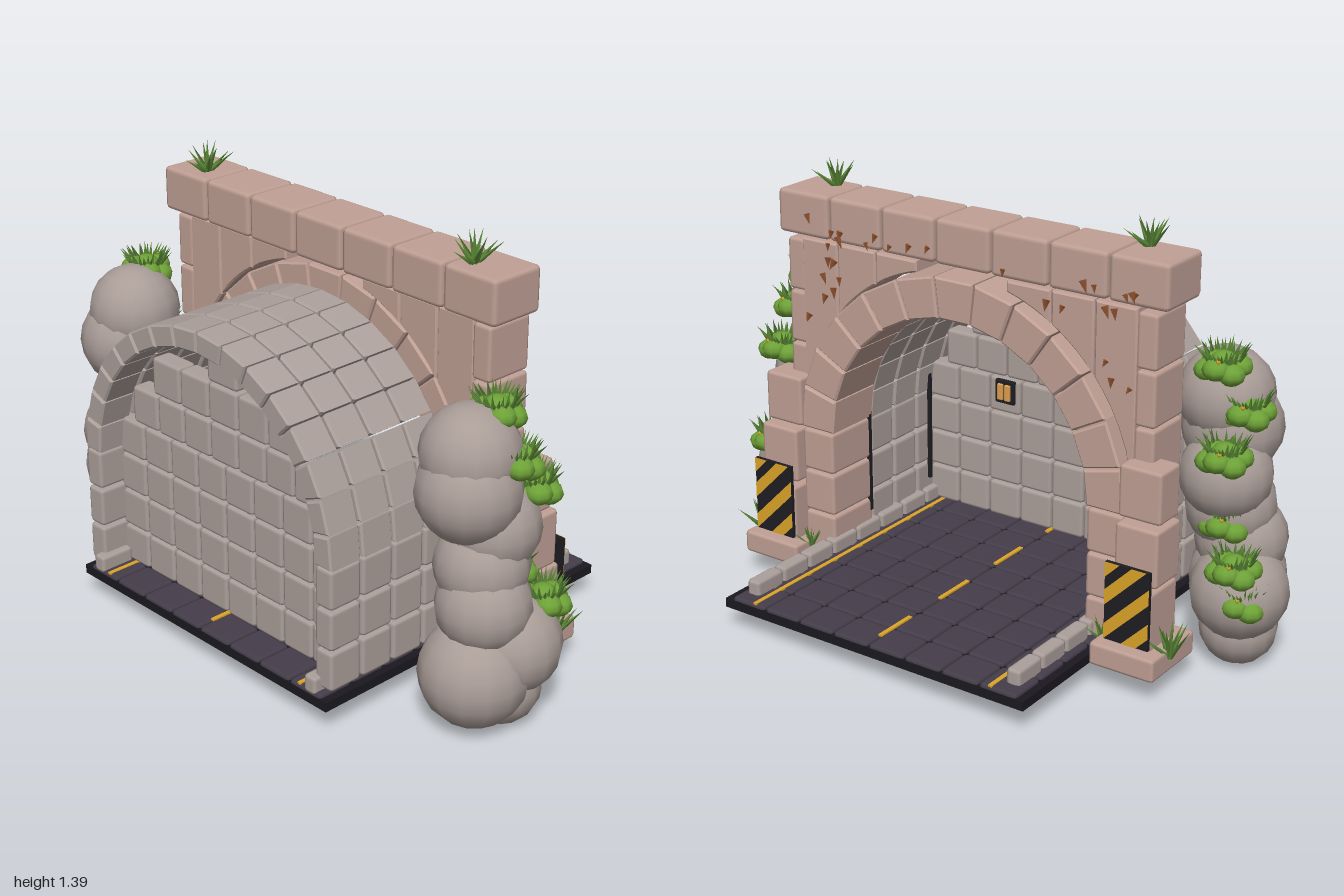
import * as THREE from 'three';
import { RoundedBoxGeometry } from 'three/addons/geometries/RoundedBoxGeometry.js';
import { mergeGeometries } from 'three/addons/utils/BufferGeometryUtils.js';

const mat = (color) => new THREE.MeshStandardMaterial({ color, side: THREE.DoubleSide });
const M = {
  sand: mat(0xc0a095), stone: mat(0xaca09b), rock: mat(0xaa9d98), road: mat(0x453e4b), slab: mat(0x1b191f),
  dark: mat(0x1e1d22), yellow: mat(0xdda528), lamp: mat(0xe0a050), rust: mat(0xa8623a),
  leaf: mat(0x6ea238), blade: mat(0x5d8c38),
};

let seed = 7;
const rnd = () => (seed = (seed * 16807) % 2147483647) / 2147483647;

function group(parent, name) {
  const g = new THREE.Group();
  g.name = name;
  parent.add(g);
  return g;
}

function add(parent, name, geo, material, x = 0, y = 0, z = 0) {
  const m = new THREE.Mesh(geo, material);
  m.name = name;
  m.position.set(x, y, z);
  parent.add(m);
  return m;
}

// Softened block given by its limits on each axis
function block(parent, name, material, x0, x1, y0, y1, z0, z1, r = 0.012) {
  const geo = new RoundedBoxGeometry(x1 - x0, y1 - y0, z1 - z0, 1, r);
  return add(parent, name, geo, material, (x0 + x1) / 2, (y0 + y1) / 2, (z0 + z1) / 2);
}

// Profile in the (z, y) plane, pushed along x with a small bevel
function slice(parent, name, material, pts, x0, x1) {
  const b = 0.006;
  const geo = new THREE.ExtrudeGeometry(new THREE.Shape(pts.map((p) => new THREE.Vector2(...p))), {
    depth: x1 - x0 - 2 * b, bevelThickness: b, bevelSize: b, bevelOffset: -b, bevelSegments: 1,
  });
  return add(parent, name, geo.rotateY(Math.PI / 2), material, x0 + b);
}

// Half ring of wedge stones
function stoneArch(parent, name, material, n, cy, rIn, rOut, x0, x1, gap) {
  const step = Math.PI / n;
  for (let i = 0; i < n; i++) {
    const p = (r, a) => [r * Math.cos(a), cy + r * Math.sin(a)];
    const a0 = i * step + gap, a1 = (i + 1) * step - gap;
    slice(parent, name, material, [p(rIn, a0), p(rOut, a0), p(rOut, a1), p(rIn, a1)], x0, x1);
  }
}

// Pointed blades fanning out from the origin
function bladeFan(count, length, width, spread, lift = 0) {
  const parts = [];
  for (let i = 0; i < count; i++) {
    const l = length * (0.75 + 0.25 * rnd());
    const g = new THREE.ConeGeometry(width, l, 3);
    g.translate(0, l / 2, 0).rotateX(spread * (0.15 + 0.85 * rnd())).rotateY(i * 2.4);
    parts.push(g.translate(Math.sin(i * 2.4) * lift, lift * 0.4, Math.cos(i * 2.4) * lift));
  }
  return mergeGeometries(parts);
}

// Rounded leafy clump
function bushGeometry() {
  const parts = [];
  for (let i = 0; i < 7; i++) {
    const a = i * 1.05, d = i === 6 ? 0 : 0.045;
    parts.push(new THREE.SphereGeometry(0.042, 9, 6).scale(1, 0.8, 1)
      .translate(d * Math.cos(a), i === 6 ? 0.012 : -0.014 * (i % 2), d * Math.sin(a)));
  }
  return mergeGeometries(parts);
}

function buildRoad(root) {
  const g = group(root, 'road');
  add(g, 'roadSlab', new THREE.BoxGeometry(1.17, 0.03, 1.12), M.slab, 0, 0.095, 0);
  for (let i = 0; i < 9; i++) for (let j = 0; j < 8; j++) {
    const x = -0.585 + i * 0.13, z = -0.536 + j * 0.134;
    block(g, 'roadTile', M.road, x + 0.002, x + 0.128, 0.098, 0.122, z + 0.002, z + 0.132);
  }
  for (const s of [-1, 1]) {
    add(g, 'edgeLine', new THREE.BoxGeometry(1.16, 0.006, 0.014), M.yellow, 0, 0.121, s * 0.443);
    for (let i = 0; i < 9; i++) {
      const x = -0.585 + i * 0.125;
      block(g, 'curbStone', M.stone, x, x + 0.12, 0.11, 0.168, s * 0.49 - 0.024, s * 0.49 + 0.024);
    }
  }
  for (let k = 0; k < 4; k++)
    add(g, 'centreDash', new THREE.BoxGeometry(0.15, 0.006, 0.014), M.yellow, 0.445 - 0.3 * k, 0.121, 0);
}

function buildTunnel(root) {
  const g = group(root, 'tunnel');
  for (let i = 0; i < 4; i++) {
    const x0 = -0.56 + i * 0.125, x1 = x0 + 0.118;
    stoneArch(g, 'vaultStone', M.stone, 16, 0.518, 0.488, 0.556, x0, x1, 0.005);
    for (const s of [-1, 1]) for (let k = 0; k < 3; k++) {
      const y = 0.13 + k * 0.132;
      block(g, 'vaultWallStone', M.stone, x0, x1, y, y + 0.126, s * 0.5225 - 0.0345, s * 0.5225 + 0.0345);
    }
  }
  // Stepped end wall: number of stones and pitch for each course
  const courses = [[8, 0.126], [8, 0.126], [8, 0.126], [8, 0.126], [7, 0.122], [5, 0.13], [1, 0.135]];
  courses.forEach(([n, w], r) => {
    for (let i = 0; i < n; i++) {
      const z = (i - n / 2) * w, y = 0.12 + r * 0.126;
      block(g, 'endWallStone', M.stone, -0.47, -0.4, y, y + 0.122, z + 0.002, z + w - 0.002);
    }
  });
  for (const s of [-1, 1]) {
    block(g, 'lampFrame', M.dark, -0.405, -0.388, 0.535, 0.618, s * 0.18 - 0.038, s * 0.18 + 0.038, 0.006);
    for (const t of [-1, 1])
      block(g, 'lampPane', M.lamp, -0.392, -0.38, 0.548, 0.605, s * 0.18 + t * 0.014 - 0.011, s * 0.18 + t * 0.014 + 0.011, 0.004);
    for (const x of [-0.05, -0.38])
      add(g, 'wallPost', new THREE.BoxGeometry(0.012, 0.38, 0.012), M.dark, x, 0.39, s * 0.483);
  }
}

function buildSign(parent, z) {
  const w = 0.15, h = 0.25;
  const g = group(parent, 'hazardSign');
  add(g, 'signBoard', new THREE.BoxGeometry(0.012, h, w), M.dark, 0.211, 0.29, z);
  for (const c of [-0.11, 0, 0.11, 0.2]) {
    const ends = (k) => [Math.max(0, -k), Math.min(w, h - k)].map((u) => new THREE.Vector2(u, u + k));
    const [a, b] = ends(c), [d, e] = ends(c + 0.05);
    add(g, 'signStripe', new THREE.ShapeGeometry(new THREE.Shape([a, b, e, d])).rotateY(Math.PI / 2),
      M.yellow, 0.219, 0.165, z + w / 2);
  }
}

function buildPortal(root) {
  const g = group(root, 'portal');
  stoneArch(g, 'archStone', M.sand, 13, 0.53, 0.478, 0.608, -0.06, 0.143, 0.005);
  for (let i = 0; i < 7; i++) {
    const z = -0.71 + i * 0.203;
    block(g, 'capStone', M.sand, -0.09, 0.102, 1.157, 1.3, z + 0.002, z + 0.2, 0.016);
  }
  for (const s of [-1, 1]) {
    const span = (name, x0, x1, y0, y1, z0, z1) =>
      block(g, name, M.sand, x0, x1, y0, y1, Math.min(s * z0, s * z1), Math.max(s * z0, s * z1));
    // Wall stones cut to the arch below
    [[0.472, 0.612], [0.323, 0.468], [0.165, 0.319]].forEach(([u0, u1]) => {
      const pts = [[s * u1, 1.155], [s * u0, 1.155]];
      for (let k = 0; k <= 5; k++) {
        const u = u0 + (u1 - u0) * k / 5;
        pts.push([s * u, 0.53 + Math.sqrt(0.613 ** 2 - u * u)]);
      }
      slice(g, 'spandrelStone', M.sand, pts, -0.065, 0.105);
    });
    for (let k = 0; k < 6; k++)
      span('pillarStone', -0.067, 0.1, 0.1 + k * 0.175, 0.271 + k * 0.175, 0.607, 0.675);
    for (let k = 0; k < 3; k++)
      span('jambStone', -0.06, 0.143, 0.1 + k * 0.144, 0.24 + k * 0.144, 0.48, 0.603);
    span('buttressTop', 0.045, 0.157, 0.535, 0.7, 0.595, 0.738);
    span('buttressMiddle', 0.045, 0.18, 0.345, 0.527, 0.6, 0.745);
    span('buttressFoot', 0.045, 0.203, 0.14, 0.337, 0.595, 0.74);
    span('buttressBase', 0.0, 0.245, 0.08, 0.155, 0.56, 0.78);
    buildSign(g, s * 0.67);
  }
  // Small dry leaves clinging to the face
  const leaf = new THREE.ConeGeometry(0.017, 0.042, 3).rotateX(Math.PI).scale(0.4, 1, 1);
  for (let i = 0; i < 80; i++) {
    const z = (rnd() - 0.5) * 1.2, y = 0.8 + rnd() * 0.42;
    if (Math.hypot(z, y - 0.53) < 0.64) continue;
    const m = add(g, 'dryLeaf', leaf, M.rust, 0.106, y, z);
    m.scale.setScalar(0.6 + rnd() * 0.4);
    m.rotation.x = rnd() - 0.5;
  }
}

function buildRocks(root) {
  // x, y, z, radius; the lowest large boulder differs between the two piles
  const rocks = [[-0.135, 0.255, 0.85, 0.152], [-0.16, 0.125, 0.84, 0.12], [-0.21, 0.39, 0.81, 0.142],
    [-0.19, 0.5, 0.78, 0.14], [-0.15, 0.61, 0.78, 0.142], [-0.225, 0.735, 0.755, 0.155], [-0.205, 0.835, 0.74, 0.148]];
  const bushes = [[-0.13, 0.95, 0.765], [-0.14, 0.825, 0.845], [-0.04, 0.71, 0.83], [-0.11, 0.475, 0.81], [-0.035, 0.37, 0.88]];
  const bush = bushGeometry(), spikes = bladeFan(34, 0.062, 0.008, 0.8, 0.045);
  for (const s of [-1, 1]) {
    const g = group(root, 'rockPile');
    for (const [x, y, z, r] of [...rocks, s < 0 ? [-0.2, 0.27, 0.81, 0.15] : [-0.24, 0.185, 0.81, 0.165]])
      add(g, 'boulder', new THREE.SphereGeometry(r, 14, 10), M.rock, x, y, s * z).rotation.y = x * 9;
    for (const [x, y, z] of s < 0 ? [...bushes, [-0.06, 0.26, 0.9]] : bushes) {
      add(g, 'bush', bush, M.leaf, x, y, s * z);
      add(g, 'bushLeaves', spikes, M.blade, x, y, s * z);
      add(g, 'blossom', new THREE.SphereGeometry(0.007, 6, 4), M.yellow, x + 0.06, y + 0.03, s * (z + 0.015));
    }
  }
}

function buildGrass(root) {
  const g = group(root, 'grass');
  const tuft = bladeFan(12, 0.125, 0.011, 1.1);
  for (const s of [-1, 1]) {
    add(g, 'capGrass', tuft, M.blade, -0.025, 1.295, s * 0.57).scale.y = 0.85;
    add(g, 'baseGrass', tuft, M.blade, 0.15, 0.13, s * 0.78);
    add(g, 'innerGrass', tuft, M.blade, 0.17, 0.13, s * 0.56).scale.setScalar(0.65);
  }
}

export function createModel() {
  const root = new THREE.Group();
  root.name = 'tunnelEntrance';
  for (const build of [buildRoad, buildTunnel, buildPortal, buildRocks, buildGrass]) build(root);
  return root;
}
